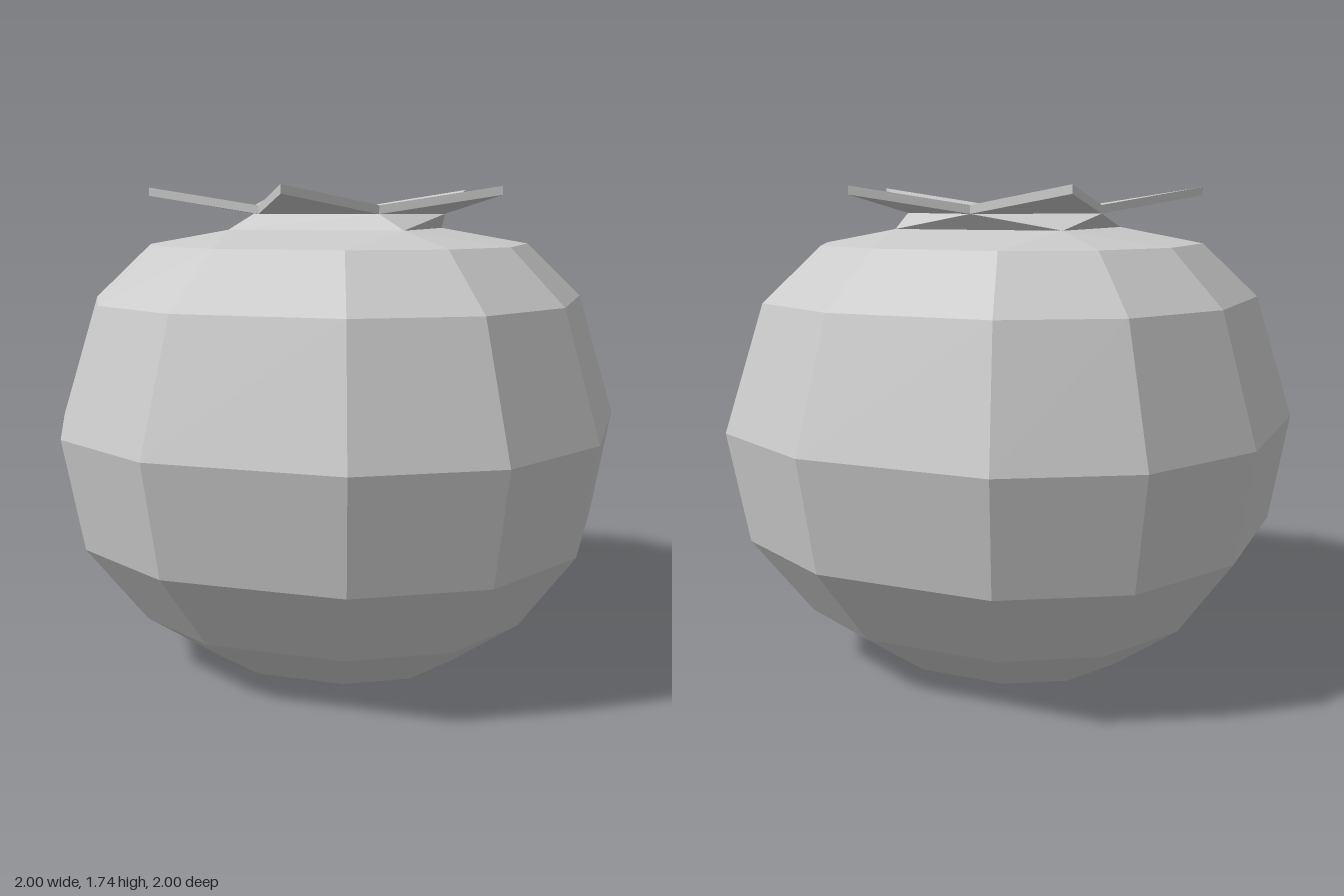
import * as THREE from 'three';

const material = new THREE.MeshStandardMaterial({ color: 0xcccccc, flatShading: true });

// Collects convex faces (corners counter-clockwise from outside) into a flat-shaded mesh
function facetMesh(name, faces) {
  const pos = [];
  for (const f of faces)
    for (let i = 1; i < f.length - 1; i++) pos.push(...f[0], ...f[i], ...f[i + 1]);
  const geo = new THREE.BufferGeometry();
  geo.setAttribute('position', new THREE.Float32BufferAttribute(pos, 3));
  geo.computeVertexNormals();
  const mesh = new THREE.Mesh(geo, material);
  mesh.name = name;
  return mesh;
}

const atHeight = (points, y, s = 1) => points.map(([x, z]) => [x * s, y, z * s]);

// Twelve-sided rounded-square outline, from the front towards +x
const OUTLINE = [
  [-0.35, 1], [0.32, 1], [0.765, 0.765], [1, 0.34], [1, -0.33], [0.765, -0.765],
  [0.32, -1], [-0.35, -1], [-0.765, -0.765], [-1, -0.33], [-1, 0.34], [-0.765, 0.765],
];
const SQUARE = [[1, 1], [1, -1], [-1, -1], [-1, 1]];
// Height and half width of each ring
const RINGS = [[0, 0.48], [0.2, 0.735], [0.49, 0.935], [0.89, 1], [1.34, 0.865], [1.535, 0.67]];

// Closes a ring with a small square joined to it by quads
function capFaces(ring, square) {
  const faces = [square];
  for (let k = 0; k < 4; k++) {
    const r = (i) => ring[(3 * k + i) % 12];
    faces.push([square[k], r(1), r(2), r(3)]);
    faces.push([square[k], r(3), r(4), square[(k + 1) % 4]]);
  }
  return faces;
}

function createBody() {
  const rings = RINGS.map(([y, s]) => atHeight(OUTLINE, y, s));
  const faces = [];
  for (let j = 0; j < rings.length - 1; j++)
    for (let i = 0; i < 12; i++) {
      const n = (i + 1) % 12;
      faces.push([rings[j][i], rings[j][n], rings[j + 1][n], rings[j + 1][i]]);
    }
  faces.push(...capFaces(rings[5], atHeight(SQUARE, 1.59, 0.32)));
  // Slightly hollow underside
  const under = capFaces(rings[0], atHeight(SQUARE, 0.03, 0.23));
  faces.push(...under.map((f) => f.reverse()));
  return facetMesh('fruitBody', faces);
}

// Irregular five-pointed star: notch points and the tip that follows each notch
const NOTCHES = [[-0.22, 0.28], [0.22, 0.27], [0.37, -0.13], [0, -0.37], [-0.38, -0.09]];
const TIPS = [[0, 0.66], [0.63, 0.17], [0.37, -0.555], [-0.425, -0.52], [-0.655, 0.26]];

// Thin leaf star with raised tips
function createLeaves() {
  const top = atHeight(NOTCHES, 1.675), low = atHeight(NOTCHES, 1.645);
  const tipTop = atHeight(TIPS, 1.74), tipLow = atHeight(TIPS, 1.71);
  const faces = [top, [...low].reverse()];
  for (let i = 0; i < 5; i++) {
    const n = (i + 1) % 5;
    faces.push([top[i], tipTop[i], top[n]], [low[n], tipLow[i], low[i]]);
    faces.push([low[i], tipLow[i], tipTop[i], top[i]]);
    faces.push([tipLow[i], low[n], top[n], tipTop[i]]);
  }
  return facetMesh('leafStar', faces);
}

// Short neck from the square top of the fruit to the five notches
function createNeck() {
  const [fr, br, bl, fl] = atHeight(SQUARE, 1.59, 0.32);
  const p = atHeight(NOTCHES, 1.645);
  return facetMesh('neck', [
    [fl, fr, p[1], p[0]],
    [fr, p[2], p[1]], [fr, br, p[2]],
    [br, p[3], p[2]], [br, bl, p[3]],
    [bl, p[4], p[3]], [bl, fl, p[4]],
    [fl, p[0], p[4]],
  ]);
}

export function createModel() {
  const group = new THREE.Group();
  group.name = 'fruit';
  group.add(createBody(), createNeck(), createLeaves());
  return group;
}
